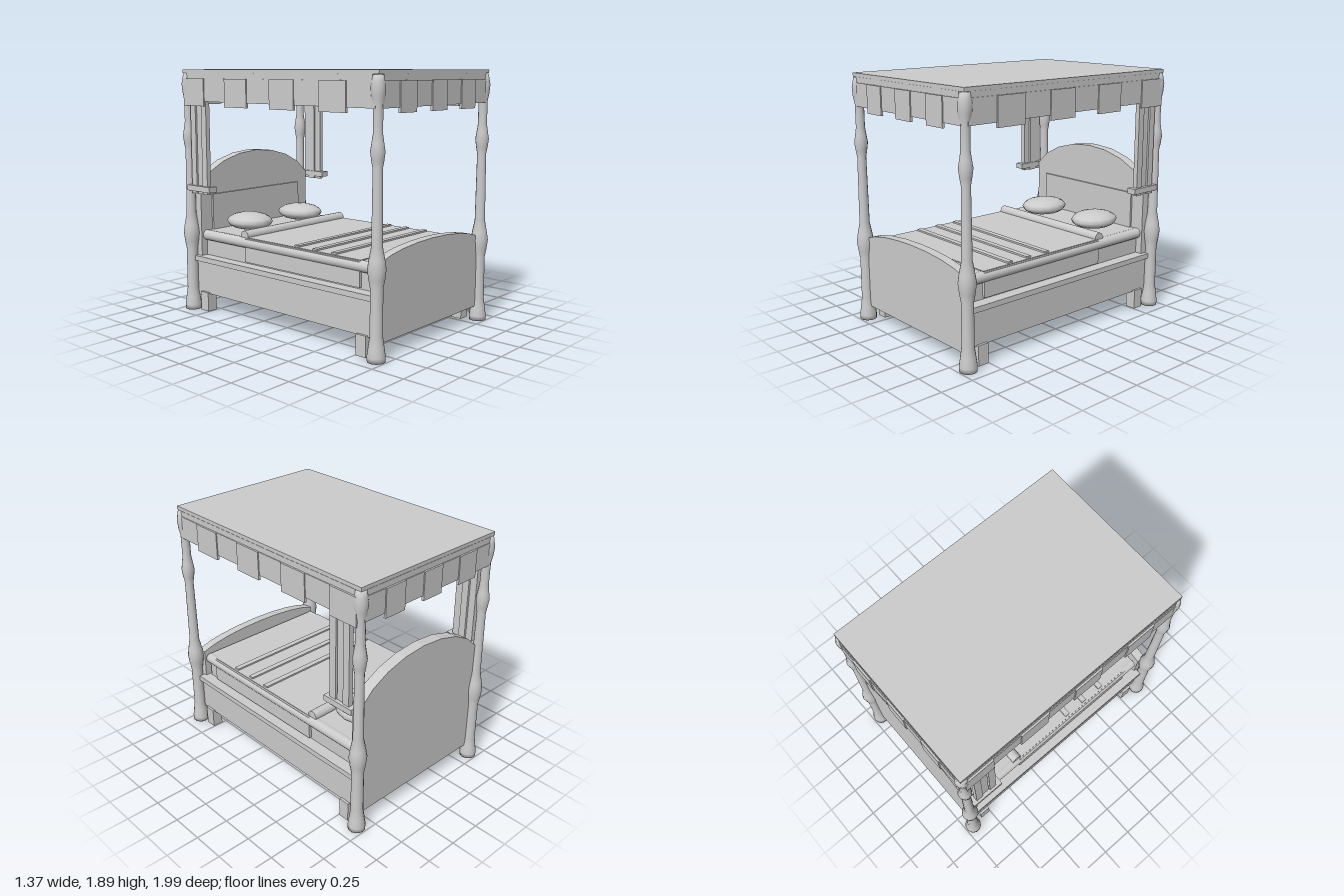
import * as THREE from 'three';

export function createModel() {
  const root = new THREE.Group();
  const mat = new THREE.MeshStandardMaterial({ color: 0xcccccc });

  const add = (name, geo, x = 0, y = 0, z = 0) => {
    const m = new THREE.Mesh(geo, mat);
    m.name = name;
    m.position.set(x, y, z);
    root.add(m);
    return m;
  };
  // Box given by its extents on each axis
  const box = (name, x0, x1, y0, y1, z0, z1) =>
    add(name, new THREE.BoxGeometry(x1 - x0, y1 - y0, z1 - z0),
      (x0 + x1) / 2, (y0 + y1) / 2, (z0 + z1) / 2);
  // Upright board with an arched top made of a few straight facets
  const archedBoard = (name, halfW, bottom, shoulder, crown, z0, depth) => {
    const s = new THREE.Shape();
    s.moveTo(-halfW, bottom);
    s.lineTo(halfW, bottom);
    const n = 8, spread = 1.12;
    for (let i = 0; i <= n; i++) {
      const a = spread * (1 - (2 * i) / n);
      const k = (Math.cos(a) - Math.cos(spread)) / (1 - Math.cos(spread));
      s.lineTo((halfW * Math.sin(a)) / Math.sin(spread), shoulder + (crown - shoulder) * k);
    }
    s.closePath();
    add(name, new THREE.ExtrudeGeometry(s, { depth, bevelEnabled: false }), 0, 0, z0);
  };

  // Turned corner posts
  const profile = [
    [0, 0], [0.062, 0], [0.064, 0.035], [0.055, 0.1], [0.045, 0.17], [0.044, 0.49],
    [0.055, 0.55], [0.064, 0.62], [0.055, 0.68], [0.038, 0.77], [0.033, 1.27],
    [0.042, 1.32], [0.05, 1.38], [0.042, 1.43], [0.033, 1.49], [0.033, 1.66],
    [0.045, 1.72], [0.05, 1.78], [0.043, 1.82], [0.035, 1.86], [0, 1.86],
  ].map(([r, y]) => new THREE.Vector2(r, y));
  const postGeo = new THREE.LatheGeometry(profile, 14);
  for (const sx of [-1, 1]) {
    for (const sz of [-1, 1]) {
      add('post', postGeo, sx * 0.622, 0, sz * 0.932);
      add('baseLeg', new THREE.BoxGeometry(0.085, 0.15, 0.085), sx * 0.577, 0.075, sz * 0.798);
    }
  }

  // Base, ledges and boards
  box('base', -0.6, 0.6, 0.14, 0.4, -0.89, 0.89);
  box('ledge', -0.63, 0.63, 0.395, 0.435, -0.9, 0.89);
  archedBoard('headboard', 0.595, 0.11, 1.0, 1.23, -0.93, 0.085);
  archedBoard('footboard', 0.58, 0.11, 0.655, 0.73, 0.865, 0.07);
  box('headboardPanel', -0.485, 0.485, 0.5, 0.915, -0.845, -0.828);

  // Mattress with rolled sides
  box('boxSpring', -0.54, 0.54, 0.43, 0.56, -0.845, 0.845);
  box('mattress', -0.54, 0.54, 0.555, 0.632, -0.845, 0.845);
  for (const s of [-1, 1]) {
    const roll = add('mattressRoll', new THREE.CylinderGeometry(0.04, 0.04, 1.69, 16), s * 0.54, 0.595, 0);
    roll.rotation.x = Math.PI / 2;
    box('blanketDrape', s * 0.555 - 0.01, s * 0.555 + 0.01, 0.45, 0.628, -0.38, 0.74);
  }
  box('blanket', -0.555, 0.555, 0.62, 0.638, -0.38, 0.74);
  for (const z of [0.14, 0.315, 0.49]) box('blanketStripe', -0.54, 0.54, 0.635, 0.65, z - 0.021, z + 0.021);

  // Bolster and pillows
  const bolster = add('bolster', new THREE.CylinderGeometry(0.04, 0.04, 1.1, 14), 0, 0.645, -0.398);
  bolster.rotation.z = Math.PI / 2;
  for (const s of [-1, 1]) {
    const pillow = add('pillow', new THREE.SphereGeometry(1, 14, 8), s * 0.288, 0.702, -0.62);
    pillow.scale.set(0.168, 0.068, 0.195);
  }

  // Canopy roof and rails
  box('canopyRoof', -0.65, 0.65, 1.862, 1.89, -0.96, 0.96);
  for (const s of [-1, 1]) {
    box('canopyEndRail', -0.6, 0.6, 1.82, 1.863, s * 0.932 - 0.03, s * 0.932 + 0.03);
    box('canopySideRail', s * 0.622 - 0.03, s * 0.622 + 0.03, 1.82, 1.863, -0.91, 0.91);
  }

  // Valance of alternating short and long flaps
  const flaps = (count, half, place) => {
    const w = (2 * half) / count;
    for (let i = 0; i < count; i++) {
      const long = i % 2 === 1;
      place(half - w * (i + 1), half - w * i, long ? 1.615 : 1.65, long ? 0.015 : 0.007);
    }
  };
  for (const s of [-1, 1]) {
    flaps(7, 0.622, (a, b, y, out) => {
      const z = s * (0.952 + out);
      box('endValance', a, b, y, 1.822, z - 0.009, z + 0.009);
    });
    flaps(8, 0.935, (a, b, y, out) => {
      const x = s * (0.642 + out);
      box('sideValance', x - 0.009, x + 0.009, y, 1.822, a, b);
    });
  }

  // Gathered curtains with tie bars near the headboard
  for (const s of [-1, 1]) {
    for (let i = 0; i < 3; i++) {
      const z = -0.72 - i * 0.0615;
      const x = s * (i === 1 ? 0.627 : 0.637);
      box('curtainFold', x - 0.018, x + 0.018, 0.94, 1.82, z - 0.028, z + 0.028);
    }
    box('curtainTie', s * 0.637 - 0.036, s * 0.637 + 0.036, 0.96, 1.003, -0.91, -0.65);
  }

  return root;
}
